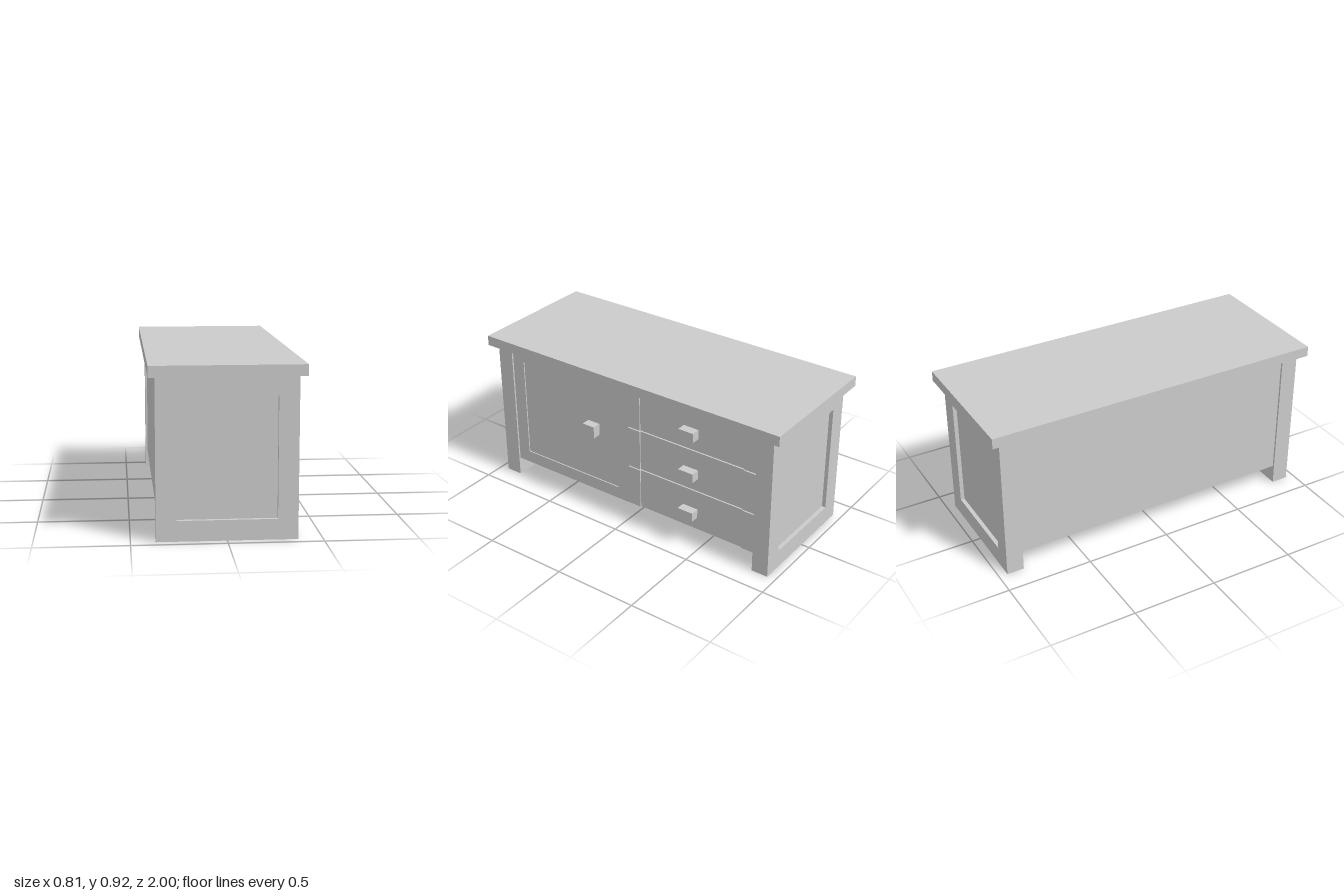
import * as THREE from 'three';

const material = new THREE.MeshStandardMaterial({ color: 0xcccccc });

// Box given by its minimum and maximum corners
function box(name, [x0, y0, z0], [x1, y1, z1]) {
  const mesh = new THREE.Mesh(new THREE.BoxGeometry(x1 - x0, y1 - y0, z1 - z0), material);
  mesh.name = name;
  mesh.position.set((x0 + x1) / 2, (y0 + y1) / 2, (z0 + z1) / 2);
  return mesh;
}

// Rectangular frame in the XY plane, extruded along +z
function frame(name, [x0, y0, x1, y1], [a0, b0, a1, b1], depth) {
  const rect = (l, b, r, t) => [[l, b], [r, b], [r, t], [l, t]].map(p => new THREE.Vector2(...p));
  const shape = new THREE.Shape(rect(x0, y0, x1, y1));
  shape.holes.push(new THREE.Path(rect(a0, b0, a1, b1).reverse()));
  const mesh = new THREE.Mesh(new THREE.ExtrudeGeometry(shape, { depth, bevelEnabled: false }), material);
  mesh.name = name;
  return mesh;
}

export function createModel() {
  const model = new THREE.Group();
  model.name = 'sideboard';

  model.add(box('top', [-0.405, 0.86, -1], [0.405, 0.92, 1]));
  model.add(box('carcass', [-0.358, 0.11, -0.85], [0.335, 0.86, 0.85]));

  // Framed ends, standing on the floor, with sunken panels
  for (const side of [1, -1]) {
    const end = new THREE.Group();
    end.name = side > 0 ? 'frontEnd' : 'backEnd';
    const endFrame = frame('endFrame', [-0.37, 0, 0.37, 0.86], [-0.263, 0.11, 0.263, 0.757], 0.1);
    endFrame.position.z = 0.85;
    end.add(endFrame, box('endPanel', [-0.264, 0.109, 0.85], [0.264, 0.758, 0.927]));
    if (side < 0) end.rotation.y = Math.PI;
    model.add(end);
  }

  // Door: a thin frame around a slightly sunken panel
  const door = new THREE.Group();
  door.name = 'door';
  const doorFrame = frame('doorFrame', [-0.85, 0.11, 0, 0.86], [-0.77, 0.185, -0.08, 0.795], 0.025);
  doorFrame.rotation.y = Math.PI / 2;
  doorFrame.position.x = 0.335;
  door.add(doorFrame);
  door.add(box('doorPanel', [0.335, 0.184, 0.079], [0.353, 0.796, 0.771]));
  door.add(box('doorHandle', [0.35, 0.49, 0.215], [0.405, 0.562, 0.295]));
  model.add(door);

  // Three drawers with proud side strips and narrow gaps between them
  const levels = [0.112, 0.365, 0.62, 0.867];
  for (let i = 0; i < 3; i++) {
    const y0 = levels[i], y1 = levels[i + 1] - 0.007;
    const drawer = new THREE.Group();
    drawer.name = 'drawer' + (i + 1);
    drawer.add(box('drawerFront', [0.335, y0, -0.77], [0.353, y1, -0.08]));
    drawer.add(box('drawerStrip', [0.335, y0, -0.08], [0.36, y1, 0]));
    drawer.add(box('drawerStrip', [0.335, y0, -0.85], [0.36, y1, -0.77]));
    const h = 0.188 + i * 0.2555;
    drawer.add(box('drawerHandle', [0.35, h, -0.472], [0.405, h + 0.056, -0.375]));
    model.add(drawer);
  }
  return model;
}
